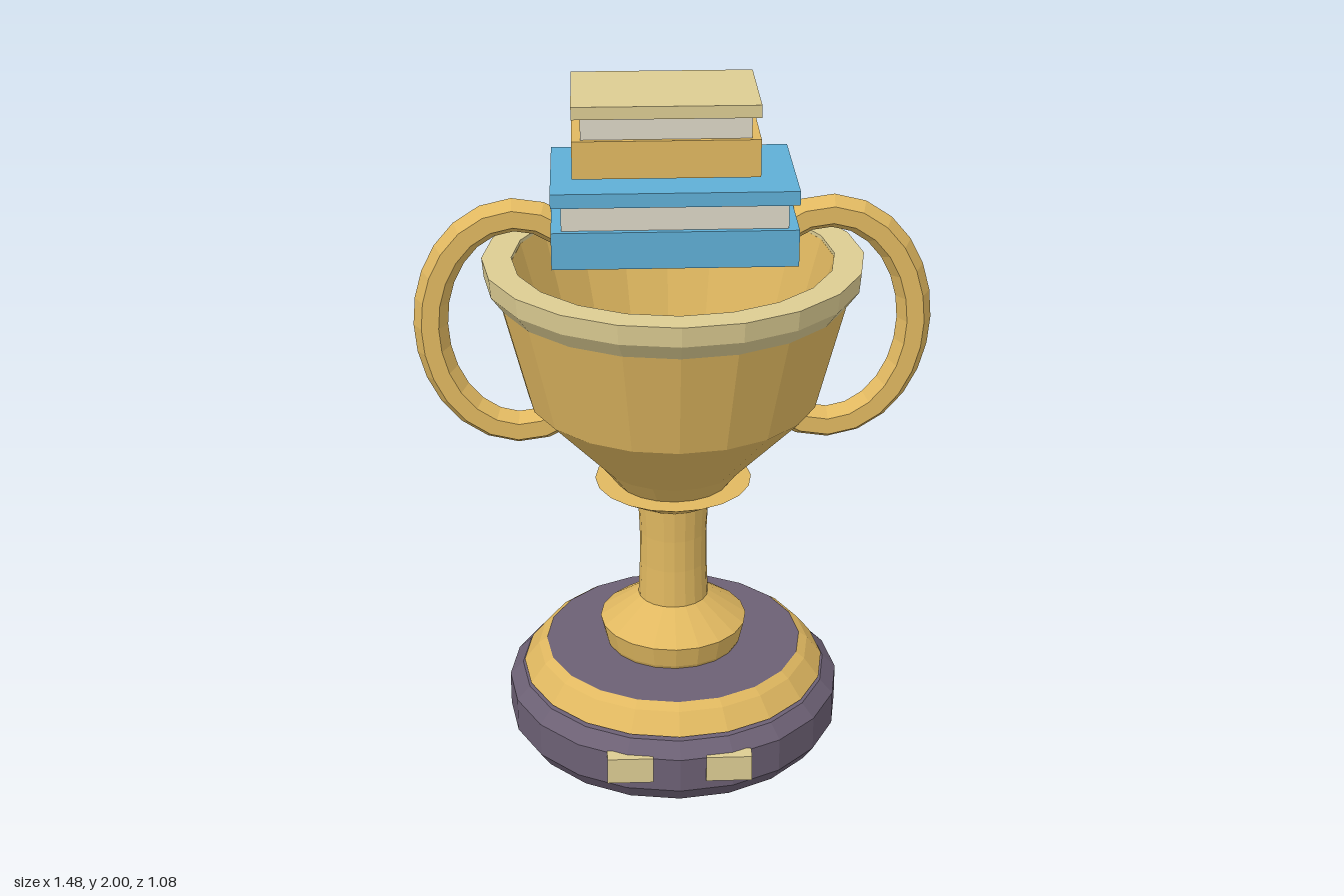
import * as THREE from 'three';

const material = (color) => new THREE.MeshStandardMaterial({ color, flatShading: true });
const gold = material(0xe0b860);
const paleGold = material(0xdccc92);
const purple = material(0x6c6074);
const blue = material(0x5fafd6);
const paper = material(0xdcd7c6);

export function createModel() {
  const model = new THREE.Group();

  const add = (name, geometry, mat, parent = model) => {
    const mesh = new THREE.Mesh(geometry, mat);
    mesh.name = name;
    parent.add(mesh);
    return mesh;
  };

  // Turned part from [radius, height] pairs, running up the outside
  const turned = (name, profile, mat, sides = 20) =>
    add(name, new THREE.LatheGeometry(profile.map(([r, y]) => new THREE.Vector2(r, y)), sides), mat);

  // Box from its extents
  const block = (name, [x0, x1], [y0, y1], [z0, z1], mat, parent) => {
    const mesh = add(name, new THREE.BoxGeometry(x1 - x0, y1 - y0, z1 - z0), mat, parent);
    mesh.position.set((x0 + x1) / 2, (y0 + y1) / 2, (z0 + z1) / 2);
    return mesh;
  };

  // Plinth, its gold step and the dark disc on top
  turned('plinth', [[0, 0], [0.465, 0], [0.5, 0.05], [0.5, 0.155], [0.46, 0.195], [0, 0.195]], purple);
  turned('plinthStep', [[0.43, 0.19], [0.455, 0.205], [0.41, 0.262], [0.385, 0.28], [0.36, 0.279]], gold);
  turned('plinthTop', [[0.385, 0.28], [0, 0.28]], purple);

  // Stem with its foot collar
  turned('footCollar', [[0.2, 0.28], [0.205, 0.29], [0.22, 0.355], [0.105, 0.435], [0, 0.435]], gold);
  turned('stem', [[0.105, 0.43], [0.1, 0.55], [0.1, 0.65], [0.105, 0.76]], gold);

  // Saucer under the bowl
  turned('saucer', [[0, 0.75], [0.12, 0.755], [0.23, 0.82], [0.12, 0.82]], gold);

  // Hollow bowl and rim
  turned('bowl', [
    [0, 0.765], [0.13, 0.77], [0.215, 0.88], [0.42, 1.095], [0.5, 1.41], [0.48, 1.5],
    [0.455, 1.505], [0.34, 1.09], [0.17, 0.93], [0, 0.88],
  ], gold);
  turned('rim', [[0.5, 1.41], [0.535, 1.458], [0.54, 1.515], [0.456, 1.515], [0.454, 1.47]], paleGold);

  // Handles: hexagonal tube along an open ellipse, one per side
  for (const side of [1, -1]) {
    const points = [];
    for (let i = 0; i <= 16; i++) {
      const a = THREE.MathUtils.degToRad(-121 + (242 * i) / 16);
      points.push(new THREE.Vector3(side * (0.44 + 0.25 * Math.cos(a)), 1.317 + 0.325 * Math.sin(a), 0));
    }
    const tube = new THREE.TubeGeometry(new THREE.CatmullRomCurve3(points), 16, 0.049, 6);
    // Turn the hexagon so an edge runs along the outside of the loop
    const pos = tube.attributes.position;
    const flat = Math.max(...Array.from({ length: pos.count }, (_, i) => Math.abs(pos.getZ(i))));
    if (flat > 0.048) {
      const path = tube.parameters.path;
      const frames = path.computeFrenetFrames(16, false);
      for (let i = 0; i <= 16; i++) {
        const c = path.getPointAt(i / 16);
        for (let j = 0; j <= 6; j++) {
          const v = new THREE.Vector3().fromBufferAttribute(pos, i * 7 + j).sub(c);
          v.applyAxisAngle(frames.tangents[i], Math.PI / 6).add(c);
          pos.setXYZ(i * 7 + j, v.x, v.y, v.z);
        }
      }
    }
    const mat = gold.clone();
    mat.side = THREE.DoubleSide;
    add(side > 0 ? 'leftHandle' : 'rightHandle', tube, mat);
  }

  // Books: lower cover, recessed pages, upper cover
  const book = (name, [x0, x1], depth, [y0, y1, y2, y3], inset, lower, upper) => {
    const group = new THREE.Group();
    group.name = name;
    block('lowerCover', [x0, x1], [y0, y1], [-depth, depth], lower, group);
    block('pages', [x0 + inset, x1 - inset], [y1, y2], [inset * 0.6 - depth, depth - inset * 0.6], paper, group);
    block('upperCover', [x0, x1], [y2, y3], [-depth, depth], upper, group);
    model.add(group);
  };
  book('largeBook', [-0.34, 0.335], 0.21, [1.555, 1.66, 1.73, 1.77], 0.028, blue, blue);
  book('smallBook', [-0.28, 0.23], 0.174, [1.8, 1.905, 1.965, 2], 0.024, gold, paleGold);

  // Small plates on the front of the plinth
  block('rightPlate', [-0.21, -0.078], [0.08, 0.16], [0.45, 0.495], paleGold);
  block('leftPlate', [0.075, 0.207], [0.08, 0.16], [0.45, 0.495], paleGold);

  return model;
}
